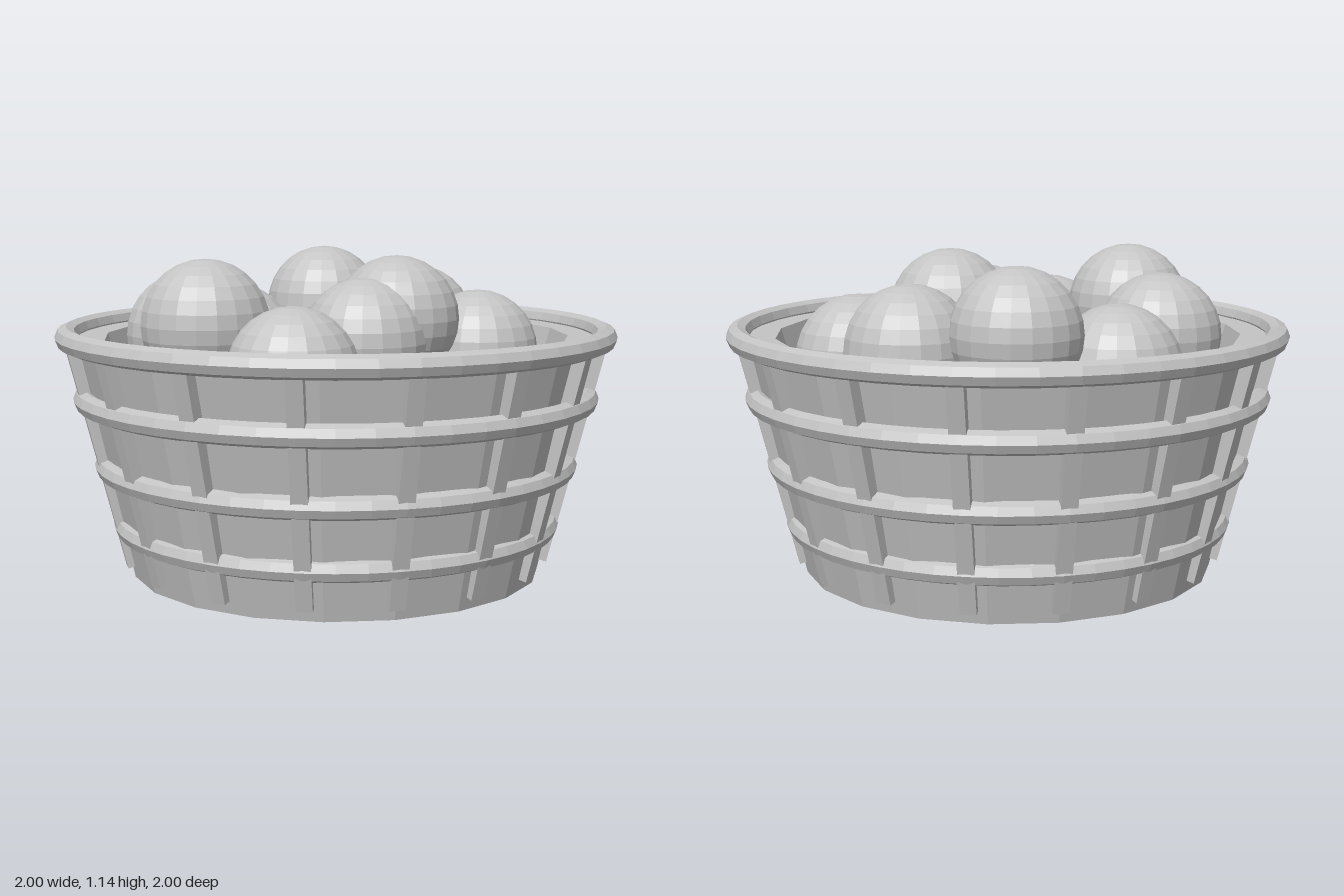
import * as THREE from 'three';

export function createModel() {
  const model = new THREE.Group();
  const grey = new THREE.MeshStandardMaterial({ color: 0xc4c4c4, flatShading: true });
  grey.name = 'plain grey';

  const add = (name, geometry, parent = model) => {
    const mesh = new THREE.Mesh(geometry, grey);
    mesh.name = name;
    parent.add(mesh);
    return mesh;
  };

  // Thick tapered tub: underside, outer wall, lip, inner wall, floor
  const profile = [[0, 0], [0.74, 0], [0.93, 0.85], [0.83, 0.85], [0.61, 0.06], [0, 0.06]]
    .map(([r, y]) => new THREE.Vector2(r, y));
  add('basketBody', new THREE.LatheGeometry(profile, 20));

  // Eight-sided hoops: top rim and three bands
  const hoop = (name, radius, y) => {
    const geometry = new THREE.TorusGeometry(radius, 0.04, 8, 48);
    geometry.rotateX(Math.PI / 2);
    add(name, geometry).position.y = y;
  };
  hoop('rim', 0.96, 0.855);
  hoop('upperBand', 0.9, 0.635);
  hoop('middleBand', 0.83, 0.395);
  hoop('lowerBand', 0.768, 0.178);

  // Sixteen leaning slats around the wall
  const slats = new THREE.Group();
  slats.name = 'slats';
  model.add(slats);
  const slatGeometry = new THREE.BoxGeometry(0.056, 0.83, 0.045);
  slatGeometry.rotateX(Math.atan(0.25));
  slatGeometry.translate(0, 0.447, 0.847);
  for (let i = 0; i < 16; i++) {
    add('slat', slatGeometry, slats).rotation.y = (i * Math.PI) / 8;
  }

  // Nine balls: seven in a ring, two near the middle, at three repeating heights
  const balls = new THREE.Group();
  balls.name = 'balls';
  model.add(balls);
  const ballGeometry = new THREE.SphereGeometry(0.222, 20, 14);
  for (let i = 0; i < 9; i++) {
    const angle = (i * Math.PI * 2) / 9;
    const radius = i < 7 ? 0.54 : 0.235;
    add('ball', ballGeometry, balls).position.set(
      radius * Math.cos(angle), 0.777 + 0.07 * (i % 3), -radius * Math.sin(angle));
  }

  return model;
}
